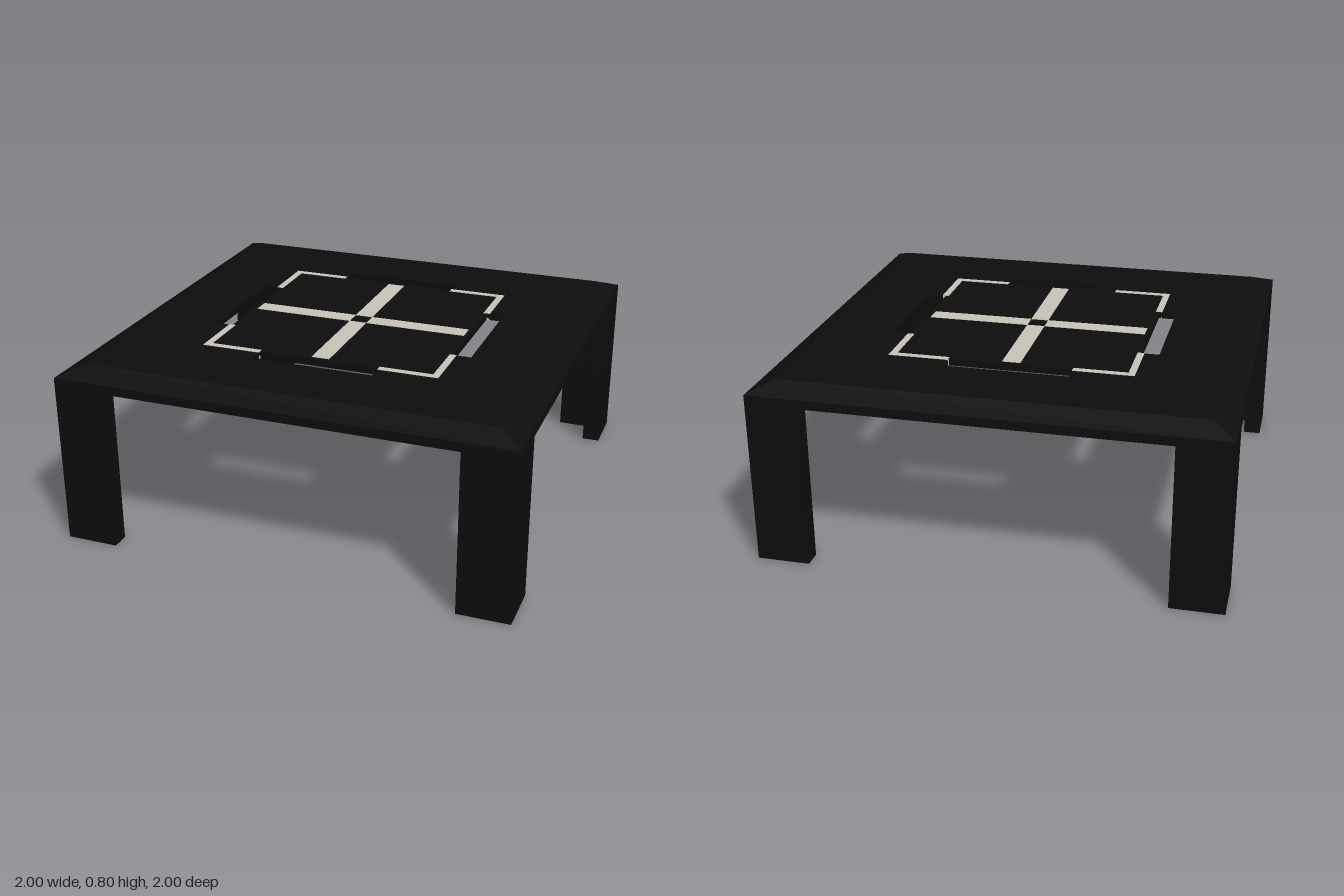
import * as THREE from 'three';

const black = new THREE.MeshStandardMaterial({ color: 0x0d0d0d, flatShading: true });
const beige = new THREE.MeshStandardMaterial({ color: 0xc8c3b7, flatShading: true });

const polygon = (points) => points.map(([x, y]) => new THREE.Vector2(x, y));
const rectangle = (x0, y0, x1, y1) => polygon([[x0, y0], [x1, y0], [x1, y1], [x0, y1]]);

// Flat outline raised upwards from y = base
function slab(shape, base, height) {
  const geometry = new THREE.ExtrudeGeometry(shape, { depth: height, bevelEnabled: false });
  return geometry.rotateX(-Math.PI / 2).translate(0, base, 0);
}

export function createModel() {
  const table = new THREE.Group();
  table.name = 'lowTable';

  const add = (name, geometry, material, turn = 0) => {
    const mesh = new THREE.Mesh(geometry, material);
    mesh.name = name;
    mesh.rotation.y = turn;
    table.add(mesh);
  };

  // Thin top panel with four open slots
  const panel = new THREE.Shape(rectangle(-0.9, -0.9, 0.9, 0.9));
  for (const s of [-1, 1]) {
    panel.holes.push(new THREE.Path(rectangle(-0.27, s * 0.56 - 0.04, 0.27, s * 0.56 + 0.04)));
    panel.holes.push(new THREE.Path(rectangle(s * 0.56 - 0.04, -0.27, s * 0.56 + 0.04, 0.27)));
  }
  add('topPanel', slab(panel, 0.77, 0.03), black);

  // Square rim with a sloped upper edge and a downturned lip
  const rim = [[0.9, 0.77], [0.92, 0.76], [0.92, 0.72], [1, 0.72], [1, 0.76], [0.9, 0.8]];
  const profile = polygon(rim.map(([r, y]) => [r * Math.SQRT2, y]));
  add('rim', new THREE.LatheGeometry(profile, 4, Math.PI / 4), black);

  // Angle-section leg, and the inlays that run through the panel
  const leg = slab(new THREE.Shape(polygon([
    [1, 1], [0.77, 1], [0.77, 0.92], [0.92, 0.92], [0.92, 0.77], [1, 0.77],
  ])), 0, 0.72);
  const corner = slab(new THREE.Shape(polygon([
    [0.535, 0.535], [0.27, 0.535], [0.27, 0.505], [0.505, 0.505], [0.505, 0.27], [0.535, 0.27],
  ])), 0.768, 0.034);
  const bar = new THREE.BoxGeometry(0.46, 0.034, 0.08).translate(0.27, 0.785, 0);

  for (let i = 0; i < 4; i++) {
    const turn = i * Math.PI / 2;
    add('leg', leg, black, turn);
    add('cornerInlay', corner, beige, turn);
    add('crossInlay', bar, beige, turn);
  }
  return table;
}
